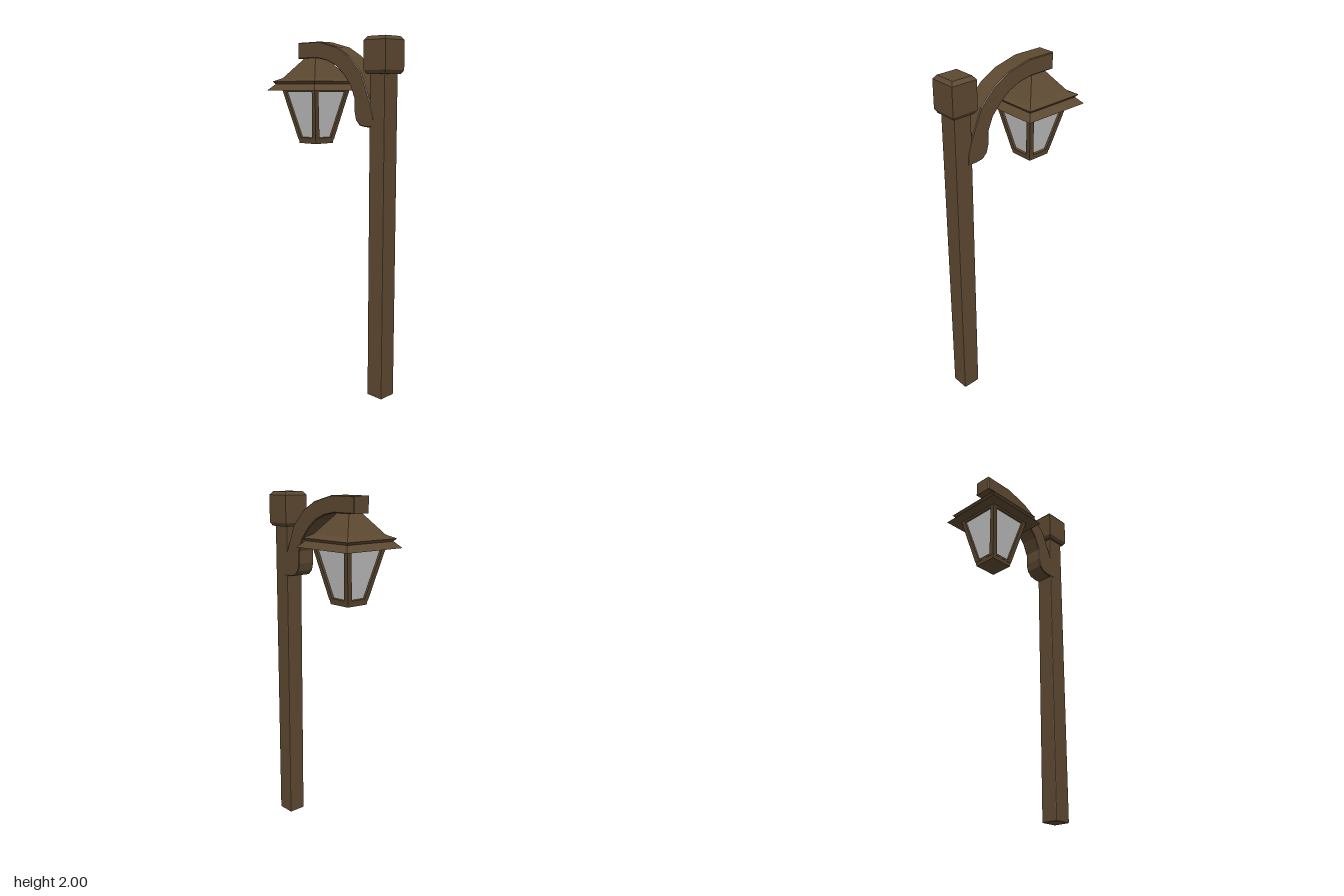
import * as THREE from 'three';
import { RoundedBoxGeometry } from 'three/addons/geometries/RoundedBoxGeometry.js';

const wood = new THREE.MeshStandardMaterial({ color: 0x5c4830, flatShading: true });
const pane = new THREE.MeshStandardMaterial({ color: 0xcccccc, flatShading: true });

// Square-section solid from [half width, height] pairs, bottom to top
function squareLoft(profile) {
  const points = profile.map(([half, y]) => new THREE.Vector2(half * Math.SQRT2, y));
  return new THREE.LatheGeometry(points, 4, Math.PI / 4).toNonIndexed();
}

function add(parent, name, geometry, material = wood) {
  const mesh = new THREE.Mesh(geometry, material);
  mesh.name = name;
  parent.add(mesh);
  return mesh;
}

function polygon(points, Type = THREE.Shape) {
  return new Type(points.map(([x, y]) => new THREE.Vector2(x, y)));
}

export function createModel() {
  const model = new THREE.Group();
  model.name = 'lampPost';
  const postX = 0.319, postZ = -0.005;

  // Square post and its chamfered cap
  const post = add(model, 'post', new RoundedBoxGeometry(0.106, 1.85, 0.106, 1, 0.005));
  post.position.set(postX, 0.925, postZ);
  const cap = add(model, 'postCap', squareLoft([
    [0, 1.805], [0.064, 1.805], [0.076, 1.825], [0.076, 1.98], [0.06, 2], [0, 2],
  ]));
  cap.position.set(postX, 0, postZ);

  // Curved bracket reaching over the lantern
  const bracket = polygon([
    [-0.291, 1.904], [-0.14, 1.904], [-0.06, 1.889], [0.01, 1.86], [0.07, 1.814], [0.127, 1.75],
    [0.159, 1.675], [0.159, 1.605], [0.17, 1.562], [0.196, 1.536], [0.235, 1.529], [0.29, 1.529],
    [0.29, 1.58], [0.266, 1.655], [0.198, 1.816], [0.11, 1.902], [0.02, 1.951], [-0.12, 1.986],
    [-0.291, 1.986],
  ]);
  const arm = add(model, 'bracketArm', new THREE.ExtrudeGeometry(bracket, {
    depth: 0.1, bevelThickness: 0.004, bevelSize: 0.004, bevelSegments: 1,
  }));
  arm.position.z = postZ - 0.05;

  const lantern = new THREE.Group();
  lantern.name = 'lantern';
  lantern.position.x = -0.198;
  model.add(lantern);

  // Stepped pyramid roof with a flared rim
  add(lantern, 'roof', squareLoft([
    [0, 1.725], [0.2, 1.72], [0.165, 1.755], [0.178, 1.77], [0.135, 1.79], [0.04, 1.908], [0, 1.908],
  ]));
  add(lantern, 'lanternBase', squareLoft([
    [0, 1.415], [0.069, 1.415], [0.073, 1.442], [0, 1.442],
  ]));
  add(lantern, 'glass', squareLoft([[0, 1.44], [0.062, 1.44], [0.125, 1.723], [0, 1.723]]), pane);

  // Four tapered window frames leaning outward
  const low = 0.074, high = 0.138, rise = 0.285;
  const slant = Math.hypot(rise, high - low);
  const frame = polygon([[-low, 0], [low, 0], [high, slant], [-high, slant]]);
  frame.holes.push(polygon([
    [-0.047, 0.012], [-0.109, slant - 0.012], [0.109, slant - 0.012], [0.047, 0.012],
  ], THREE.Path));
  const frameGeometry = new THREE.ExtrudeGeometry(frame, { depth: 0.02, bevelEnabled: false });
  frameGeometry.translate(0, 0, -0.02);
  frameGeometry.rotateX(Math.atan2(high - low, rise));
  frameGeometry.translate(0, 1.437, low);
  for (let i = 0; i < 4; i++) {
    add(lantern, 'windowFrame', frameGeometry).rotation.y = i * Math.PI / 2;
  }
  return model;
}
